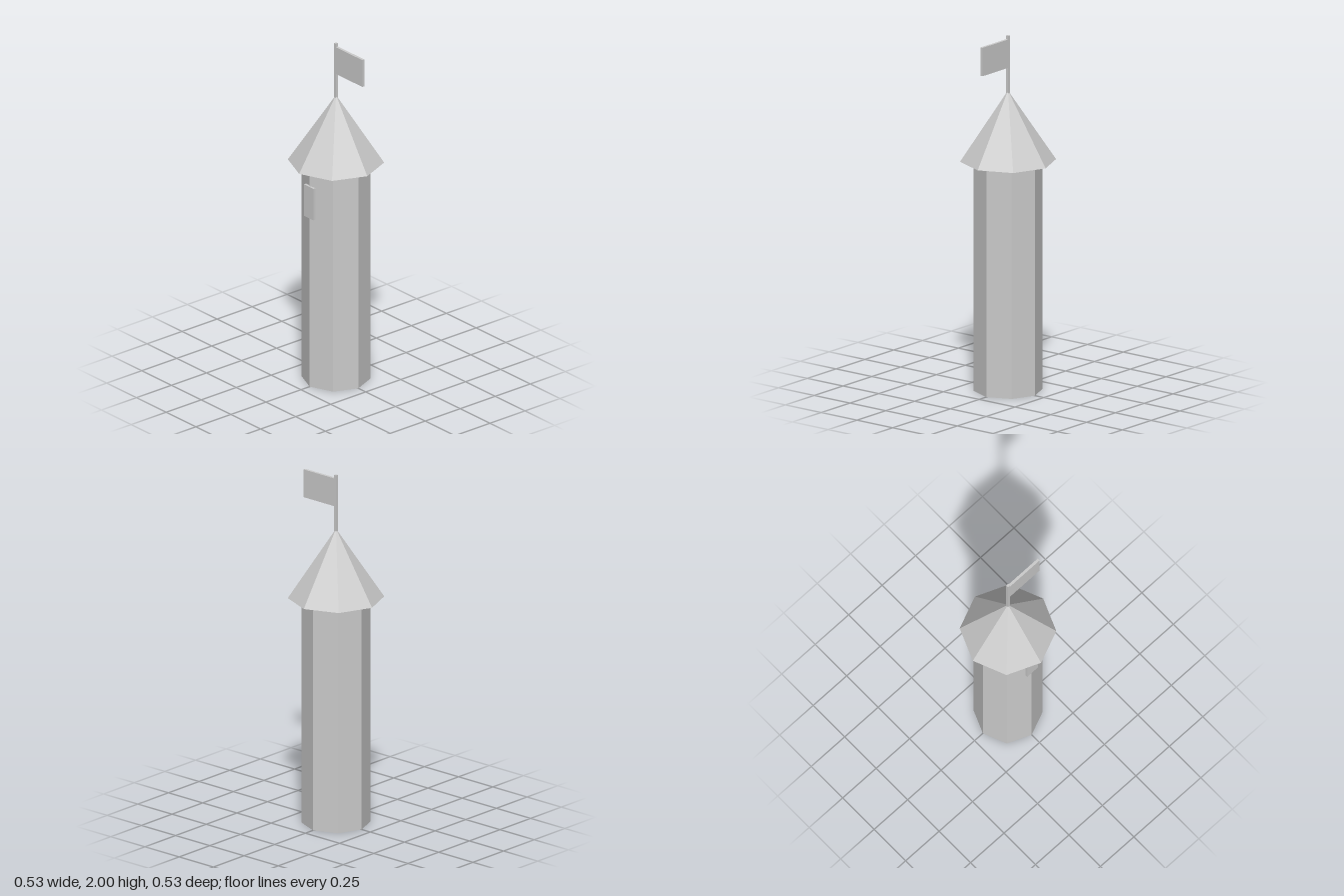
import * as THREE from 'three';

export function createModel() {
  const group = new THREE.Group();
  group.name = 'tower';
  const material = new THREE.MeshStandardMaterial({ color: 0xcccccc, flatShading: true });

  const add = (name, geometry, x, y, z) => {
    const mesh = new THREE.Mesh(geometry, material);
    mesh.name = name;
    mesh.position.set(x, y, z);
    group.add(mesh);
  };

  // Octagonal shaft and overhanging roof, corners on the axes
  add('towerShaft', new THREE.CylinderGeometry(0.188, 0.188, 1.295, 8), 0, 0.6475, 0);
  add('roof', new THREE.ConeGeometry(0.263, 0.395, 8), 0, 1.4925, 0);

  // Window panel on the front corner
  add('window', new THREE.BoxGeometry(0.08, 0.188, 0.015), 0, 1.105, 0.188);

  // Flagpole, with its foot sunk into the roof tip, and flag
  add('flagpole', new THREE.BoxGeometry(0.014, 0.37, 0.014), 0, 1.815, 0);
  add('flag', new THREE.BoxGeometry(0.225, 0.16, 0.015), 0.1175, 1.9, 0);

  return group;
}
